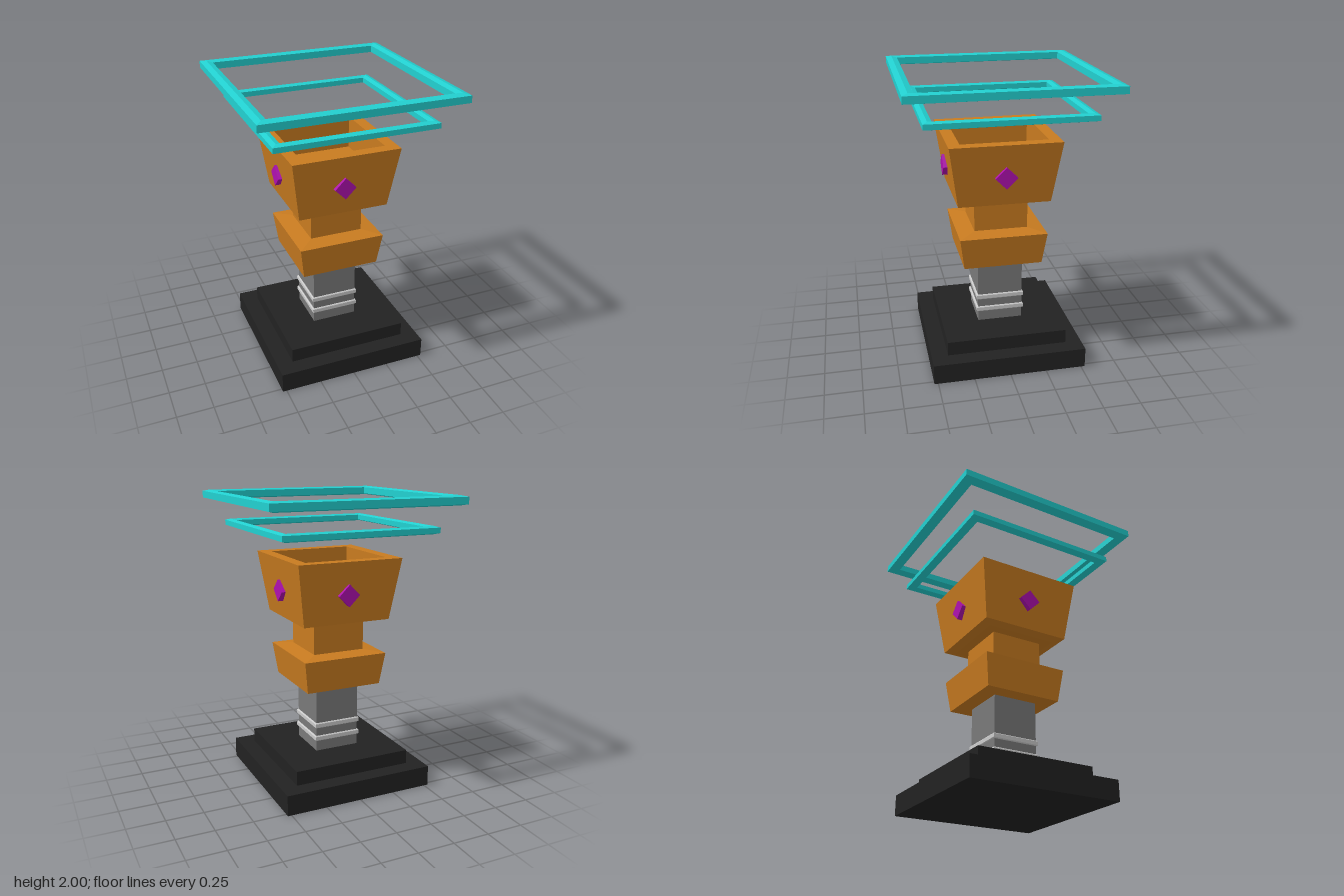
import * as THREE from 'three';

export function createModel() {
  const model = new THREE.Group();
  model.name = 'squareBrazier';

  const paint = (name, color, flatShading = true) => {
    const m = new THREE.MeshStandardMaterial({ color, flatShading });
    m.name = name;
    return m;
  };
  const black = paint('blackStone', 0x222222);
  const grey = paint('greyStone', 0x797979);
  const silver = paint('paleBand', 0xcccccc);
  const orange = paint('orangeBronze', 0xc87b20);
  const teal = paint('glowingTeal', 0x22d0d0);
  const purple = paint('purpleGem', 0xae10ae);

  // Square solid turned from a profile of [half width, height] points, bottom to top
  const square = (name, material, profile) => {
    const points = profile.map(([w, y]) => new THREE.Vector2(w * Math.SQRT2, y));
    const geometry = new THREE.LatheGeometry(points, 4, Math.PI / 4).toNonIndexed();
    geometry.computeVertexNormals();
    const mesh = new THREE.Mesh(geometry, material);
    mesh.name = name;
    model.add(mesh);
  };

  // Stepped base
  square('base', black, [
    [0, 0], [0.527, 0], [0.527, 0.14], [0.415, 0.14], [0.415, 0.238], [0, 0.238],
  ]);

  // Column with two bevelled bands
  square('column', grey, [[0.157, 0.23], [0.157, 0.72]]);
  for (const y of [0.33, 0.424]) {
    square('columnBand', silver, [
      [0.15, y - 0.018], [0.162, y - 0.018], [0.167, y - 0.012],
      [0.167, y + 0.012], [0.162, y + 0.018], [0.15, y + 0.018],
    ]);
  }

  // Flared collar and neck
  square('collar', orange, [
    [0, 0.708], [0.268, 0.708], [0.298, 0.93], [0.184, 0.944], [0, 0.944],
  ]);
  square('neck', orange, [[0.183, 0.93], [0.183, 1.17]]);

  // Flared bowl with a sunken top
  square('bowl', orange, [
    [0, 1.155], [0.25, 1.155], [0.31, 1.17], [0.37, 1.587],
    [0.29, 1.587], [0.29, 1.36], [0, 1.36],
  ]);

  // One diamond gem on each side of the bowl
  for (let i = 0; i < 4; i++) {
    const side = new THREE.Group();
    side.name = 'gemMount';
    side.rotation.y = (i * Math.PI) / 2;
    const gem = new THREE.Mesh(new THREE.BoxGeometry(0.104, 0.104, 0.066), purple);
    gem.name = 'gem';
    gem.position.set(i % 2 ? 0 : -0.011, 1.366, 0.333);
    gem.rotation.z = Math.PI / 4;
    side.add(gem);
    model.add(side);
  }

  // Floating square rings with slightly ridged bars
  const ring = (name, inner, outer, bottom, top) => {
    const mid = (inner + outer) / 2;
    const b = 0.009;
    square(name, teal, [
      [mid, bottom], [outer, bottom + b], [outer, top - b],
      [mid, top], [inner, top - b], [inner, bottom + b], [mid, bottom],
    ]);
  };
  ring('lowerRing', 0.482, 0.543, 1.75, 1.803);
  ring('upperRing', 0.59, 0.664, 1.936, 2);

  return model;
}
